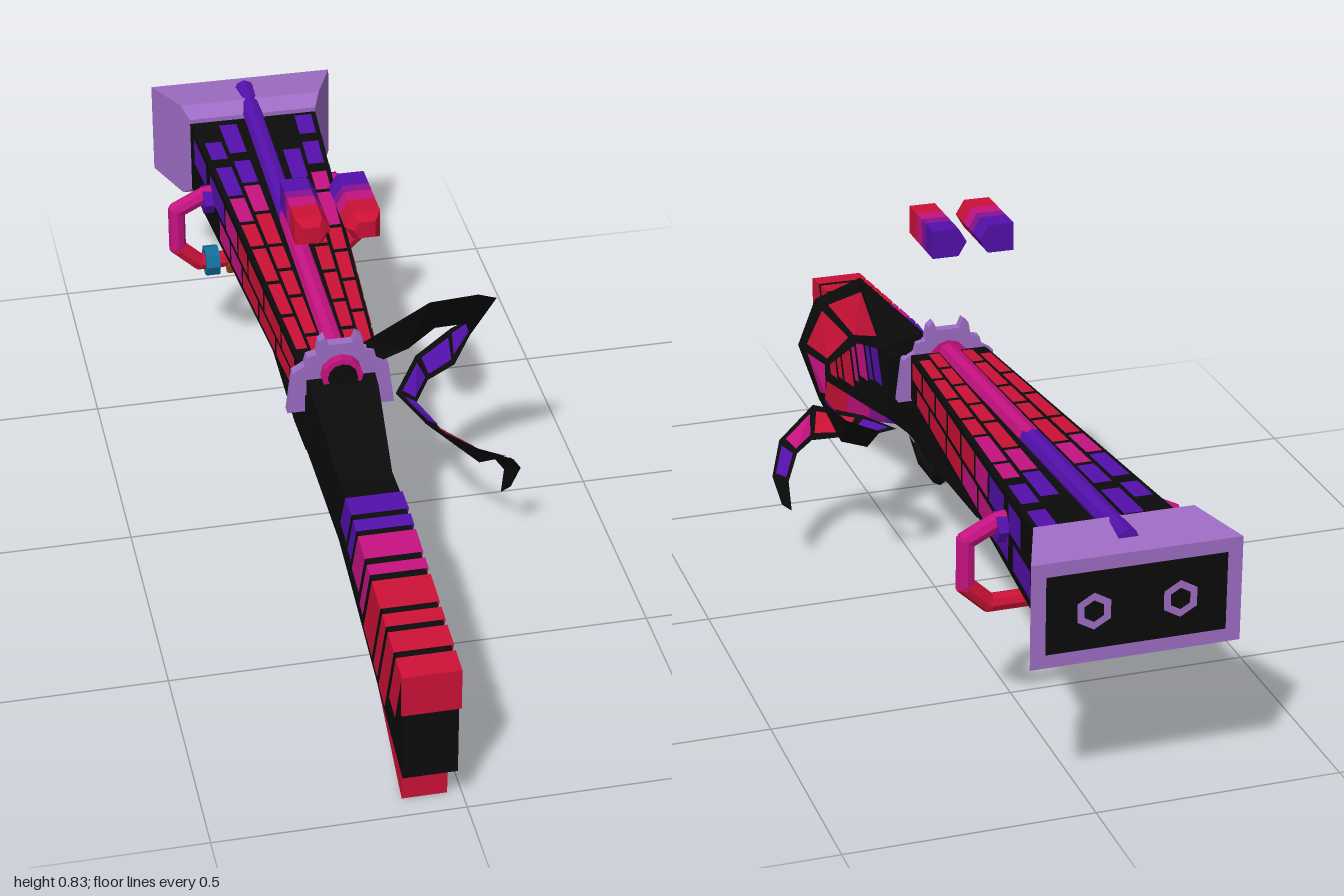
import * as THREE from 'three';
import { mergeGeometries } from 'three/addons/utils/BufferGeometryUtils.js';

const CX = -0.073; // centre line of the long body

const paint = (name, color) => {
  const m = new THREE.MeshStandardMaterial({ color, side: THREE.DoubleSide });
  m.name = name;
  return m;
};
const lerp = THREE.MathUtils.lerp;

// Rings of [x, y, z] points, counter-clockwise seen from +z, ordered by rising z.
function loft(rings) {
  const pos = [];
  const tri = (a, b, c) => pos.push(...a, ...b, ...c);
  const n = rings[0].length;
  for (let k = 0; k < rings.length - 1; k++) {
    for (let i = 0; i < n; i++) {
      const j = (i + 1) % n, a = rings[k], b = rings[k + 1];
      tri(a[i], a[j], b[j]);
      tri(a[i], b[j], b[i]);
    }
  }
  const first = rings[0], last = rings[rings.length - 1];
  for (let i = 1; i < n - 1; i++) {
    tri(first[0], first[i + 1], first[i]);
    tri(last[0], last[i], last[i + 1]);
  }
  return flat(pos);
}
function flat(pos) {
  const g = new THREE.BufferGeometry();
  g.setAttribute('position', new THREE.Float32BufferAttribute(pos, 3));
  g.computeVertexNormals();
  return g;
}
const quad = (a, b, c, d) => flat([...a, ...b, ...c, ...a, ...c, ...d]);
// Rectangular section: z, half width, bottom, top
const rect = ([z, w, y0, y1]) =>
  [[CX - w, y0, z], [CX + w, y0, z], [CX + w, y1, z], [CX - w, y1, z]];
const boxLoft = (sections) => loft(sections.map(rect));

// Straight bar between two points, with a little overlap at the joints
function bar(p, q, r, sides) {
  const a = new THREE.Vector3(...p), b = new THREE.Vector3(...q);
  const dir = b.clone().sub(a), len = dir.length();
  const g = new THREE.CylinderGeometry(r, r, len + r * 0.6, sides);
  g.applyQuaternion(new THREE.Quaternion().setFromUnitVectors(new THREE.Vector3(0, 1, 0), dir.normalize()));
  g.translate(...a.add(b).multiplyScalar(0.5).toArray());
  return g;
}

export function createModel() {
  const model = new THREE.Group();
  const black = paint('black', 0x0b0b0c), lavender = paint('lavender', 0x9d6cc4);
  const red = paint('red', 0xcb1136), magenta = paint('magenta', 0xc41280);
  const violet = paint('violet', 0x86128f), purple = paint('purple', 0x5410ac);
  const teal = paint('teal', 0x126f9b), orange = paint('orange', 0x9c4d12);

  const add = (name, geo, mat) => {
    const g = geo.index ? geo.toNonIndexed() : geo;
    g.computeVertexNormals();
    const mesh = new THREE.Mesh(g, mat);
    mesh.name = name;
    model.add(mesh);
    return mesh;
  };
  // Collects plates and merges them into one mesh per colour
  const plateSet = (name) => {
    const sets = new Map();
    return {
      put: (mat, g) => sets.set(mat, [...(sets.get(mat) || []), g]),
      done: () => sets.forEach((list, mat) => add(`${name} ${mat.name}`, mergeGeometries(list), mat)),
    };
  };

  // Barrel body, widening towards the muzzle
  const barrel = (z) => {
    const t = (0.14 - z) / 0.98;
    return { w: lerp(0.083, 0.145, t), y0: lerp(0.385, 0.35, t), y1: lerp(0.485, 0.52, t) };
  };
  const barrelRing = (z) => { const b = barrel(z); return [z, b.w, b.y0, b.y1]; };
  add('barrel', boxLoft([barrelRing(-0.84), barrelRing(0.14)]), black);

  // Brick plates on the barrel's top and sides
  let seed = 7;
  const rnd = () => (seed = (seed * 16807) % 2147483647) / 2147483647;
  const tileMat = (z) => (z > -0.37 ? red : z > -0.54 ? magenta : purple);
  const tiles = plateSet('barrel plates');
  const topPoint = (u, z) => { const b = barrel(z); return [CX + u * b.w, b.y1 + 0.003, z]; };
  const sidePoint = (s, v, z) => {
    const b = barrel(z);
    return [CX + s * (b.w + 0.003), lerp(b.y0, b.y1, v), z];
  };
  const row = (lo, hi, point, start) => {
    for (let z = start; z > -0.74;) {
      const len = 0.07 + 0.07 * rnd(), end = Math.max(z - len, -0.82);
      if (z > -0.5 || rnd() > 0.35)
        tiles.put(tileMat((z + end) / 2), quad(point(lo, z), point(hi, z), point(hi, end), point(lo, end)));
      z = end - (z > -0.45 ? 0.012 : 0.035);
    }
  };
  for (const s of [-1, 1]) {
    row(s * 0.3, s * 0.58, topPoint, 0.12);
    row(s * 0.65, s * 0.92, topPoint, 0.09);
    row(0.56, 0.94, (v, z) => sidePoint(s, v, z), 0.11);
    row(0.14, 0.48, (v, z) => sidePoint(s, v, z), 0.07);
  }
  tiles.done();

  // Fore-end below the barrel, with small nubs
  add('foreEnd', boxLoft([[-0.84, 0.1, 0.35, 0.37], [-0.55, 0.075, 0.31, 0.38], [-0.285, 0.075, 0.305, 0.39]]), black);
  add('foreGrip', boxLoft([[-0.28, 0.072, 0.29, 0.4], [0.05, 0.078, 0.285, 0.4], [0.16, 0.075, 0.285, 0.42]]), black);
  for (const z of [0.03, -0.02, -0.11])
    add('underNub', boxLoft([[z - 0.025, 0.025, 0.245, 0.3], [z + 0.02, 0.025, 0.25, 0.3]]), black);

  // Flared muzzle with a dark face and two hexagonal bores
  add('muzzle', boxLoft([[-0.996, 0.208, 0.322, 0.536], [-0.87, 0.16, 0.322, 0.55], [-0.835, 0.145, 0.348, 0.53]]), lavender);
  add('muzzleFace', boxLoft([[-0.998, 0.178, 0.35, 0.508], [-0.994, 0.178, 0.35, 0.508]]), black);
  for (const s of [-1, 1]) {
    const bore = add('boreRing', new THREE.RingGeometry(0.022, 0.038, 6), lavender);
    bore.rotation.z = Math.PI / 6;
    bore.position.set(CX + s * 0.085, 0.428, -1);
  }

  // Rail tube along the top
  const railAt = (z) => [CX, lerp(0.482, 0.536, (0.15 - z) / 1.1), z];
  add('railRear', bar(railAt(0.15), railAt(-0.4), 0.022, 8), magenta);
  add('railFront', bar(railAt(-0.4), railAt(-0.94), 0.022, 8), purple);

  // Toothed collar behind the barrel
  const half = [[0.112, 0.38], [0.1, 0.475], [0.075, 0.49], [0.07, 0.51], [0.05, 0.515],
    [0.045, 0.545], [0.033, 0.555], [0.025, 0.535]];
  const outline = [...half, ...half.slice().reverse().map(([x, y]) => [-x, y])];
  const collar = add('collar', new THREE.ExtrudeGeometry(
    new THREE.Shape(outline.map(([x, y]) => new THREE.Vector2(x, y))),
    { depth: 0.022, bevelEnabled: false }), lavender);
  collar.position.set(CX, 0, 0.135);
  for (const [name, r, z, mat] of [['breechRing', 0.043, 0.155, magenta], ['breechPlug', 0.031, 0.162, black]]) {
    const c = add(name, new THREE.CylinderGeometry(r, r, 0.045, 12), mat);
    c.rotation.x = Math.PI / 2;
    c.position.set(CX, 0.467, z);
  }

  // Neck and stock
  const stockTop = (z) => (z < 0.5 ? 0.38 : lerp(0.385, 0.332, (z - 0.5) / 0.5));
  const stockBottom = (z) => lerp(0.2, 0.09, (z - 0.5) / 0.5);
  add('stock', boxLoft([[0.15, 0.072, 0.28, 0.457], [0.2, 0.07, 0.275, 0.452], [0.4, 0.055, 0.225, 0.376],
    [0.5, 0.054, 0.2, 0.383], [0.996, 0.054, 0.09, 0.33]]), black);

  // Slanted stripes wrapped over the stock
  const stripes = plateSet('stock stripes');
  const bands = [[0.48, 0.54, purple, 0.55], [0.555, 0.588, purple, 0.6], [0.602, 0.668, magenta, 0.65],
    [0.685, 0.715, magenta, 0.75], [0.732, 0.81, red, 0.85], [0.825, 0.86, red, 0.85],
    [0.875, 0.93, red, 0.88], [0.945, 0.998, red, 0.6]];
  const W = 0.058;
  for (const [z0, z1, mat, reach] of bands) {
    const top = (s, z) => [CX + s * W, stockTop(z) + 0.004, z];
    const low = (s, z) => {
      const zz = z - 0.09 * reach;
      return [CX + s * W, lerp(stockTop(zz), stockBottom(zz), reach), zz];
    };
    stripes.put(mat, quad(top(-1, z1), top(1, z1), top(1, z0), top(-1, z0)));
    for (const s of [-1, 1]) stripes.put(mat, quad(top(s, z0), top(s, z1), low(s, z1), low(s, z0)));
  }
  stripes.done();
  add('buttCap', boxLoft([[0.993, W, 0.245, 0.336], [1, W, 0.245, 0.336]]), red);

  // Tapered strip under the stock
  const strip = (z) => [z, lerp(0.034, 0.045, (z - 0.3) / 0.65), 0.36 - 0.379 * z, 0.36 - 0.379 * z + 0.1];
  for (const [z0, z1, mat] of [[0.36, 0.47, purple], [0.47, 0.6, violet], [0.6, 0.77, magenta], [0.77, 0.95, red]])
    add('underStrip', boxLoft([strip(z0), strip(z1)]), mat);
  add('triggerPlate', boxLoft([[0.17, 0.04, 0.255, 0.3], [0.26, 0.04, 0.225, 0.28], [0.36, 0.034, 0.222, 0.27]]), lavender);

  // Trigger guard and trigger
  const guard = [[0.43, 0.235], [0.3, 0.16], [0.2, 0.162], [0.11, 0.26], [0.08, 0.3]].map(([z, y]) => [CX, y, z]);
  for (let i = 0; i < guard.length - 1; i++) add('triggerGuard', bar(guard[i], guard[i + 1], 0.018, 6), black);
  add('trigger', bar([CX, 0.27, 0.21], [CX, 0.195, 0.19], 0.011, 5), black);

  // Side handle looping under the barrel
  const HZ = -0.63;
  for (const s of [-1, 1]) {
    const path = [[0.13, 0.455], [0.15, 0.452], [0.213, 0.42], [0.213, 0.325], [0.165, 0.28], [0, 0.28]]
      .map(([x, y]) => [CX + s * x, y, HZ]);
    for (let i = 0; i < path.length - 1; i++)
      add('handle', bar(path[i], path[i + 1], 0.019, 8), i < 3 ? magenta : red);
    add('handleMount', bar([CX + s * 0.12, 0.44, HZ], [CX + s * 0.145, 0.44, HZ], 0.031, 6), purple);
  }
  for (const [x, mat] of [[-0.21, teal], [-0.16, orange]])
    add('handleRing', bar([x - 0.005, 0.28, HZ], [x + 0.005, 0.28, HZ], 0.035, 8), mat);

  // Curling ribbon tail: [upper edge, lower edge] pairs
  const tail = [
    [[-0.02, 0.53, 0.15], [-0.01, 0.47, 0.15]], [[0.1, 0.645, 0.21], [0.07, 0.5, 0.15]],
    [[0.21, 0.625, 0.17], [0.13, 0.53, 0.13]], [[0.27, 0.56, 0.09], [0.205, 0.505, 0.09]],
    [[0.25, 0.47, 0.01], [0.225, 0.45, 0.05]], [[0.2, 0.425, -0.02], [0.2, 0.36, 0.02]],
    [[0.12, 0.38, 0], [0.14, 0.335, 0.03]], [[0.06, 0.345, 0.08], [0.1, 0.33, 0.1]],
    [[0.1, 0.335, 0.19], [0.14, 0.3, 0.17]], [[0.185, 0.33, 0.29], [0.2, 0.265, 0.25]],
    [[0.27, 0.27, 0.26], [0.24, 0.25, 0.225]], [[0.3, 0.21, 0.21], [0.268, 0.2, 0.195]],
    [[0.285, 0.15, 0.19], [0.265, 0.135, 0.185]]];
  const tailMats = [null, red, red, magenta, purple, purple, purple, purple, red, magenta, purple, null];
  const sheet = [], panels = plateSet('tail panels');
  for (let i = 0; i < tail.length - 1; i++) {
    const [[a, b], [c, d]] = [tail[i], tail[i + 1]];
    sheet.push(quad(a, c, d, b));
    if (!tailMats[i]) continue;
    // Inset panel, lifted to the inner side of the curl
    const V = (p) => new THREE.Vector3(...p);
    const at = (u, v) => V(a).lerp(V(c), u).lerp(V(b).lerp(V(d), u), v);
    const n = at(1, 0.5).sub(at(0, 0.5)).cross(at(0.5, 1).sub(at(0.5, 0))).normalize();
    const mid = at(0.5, 0.5);
    if (n.dot(new THREE.Vector3(0.16 - mid.x, 0, 0.1 - mid.z)) < 0) n.negate();
    const pt = (u, v) => at(u, v).addScaledVector(n, 0.005).toArray();
    panels.put(tailMats[i], quad(pt(0.1, 0.18), pt(0.9, 0.18), pt(0.9, 0.82), pt(0.1, 0.82)));
  }
  add('tail', mergeGeometries(sheet), black);
  panels.done();

  // Pair of floating shells above
  const profile = [[-0.087, 0.765], [-0.032, 0.765], [-0.014, 0.795], [-0.032, 0.825], [-0.087, 0.825]];
  for (const s of [1, -1]) {
    const ring = (z, k) => {
      const r = profile.map(([x, y]) => [CX + s * (-0.052 + (x + 0.052) * k), 0.795 + (y - 0.795) * k, z]);
      return s > 0 ? r : r.reverse();
    };
    add('shellBase', loft([ring(-0.03, 1), ring(0.02, 1)]), purple);
    add('shellMiddle', loft([ring(0.02, 1), ring(0.045, 1)]), violet);
    add('shellBand', loft([ring(0.045, 1), ring(0.08, 1)]), magenta);
    add('shellTip', loft([ring(0.08, 1), ring(0.13, 1), ring(0.15, 0.6)]), red);
  }
  return model;
}
